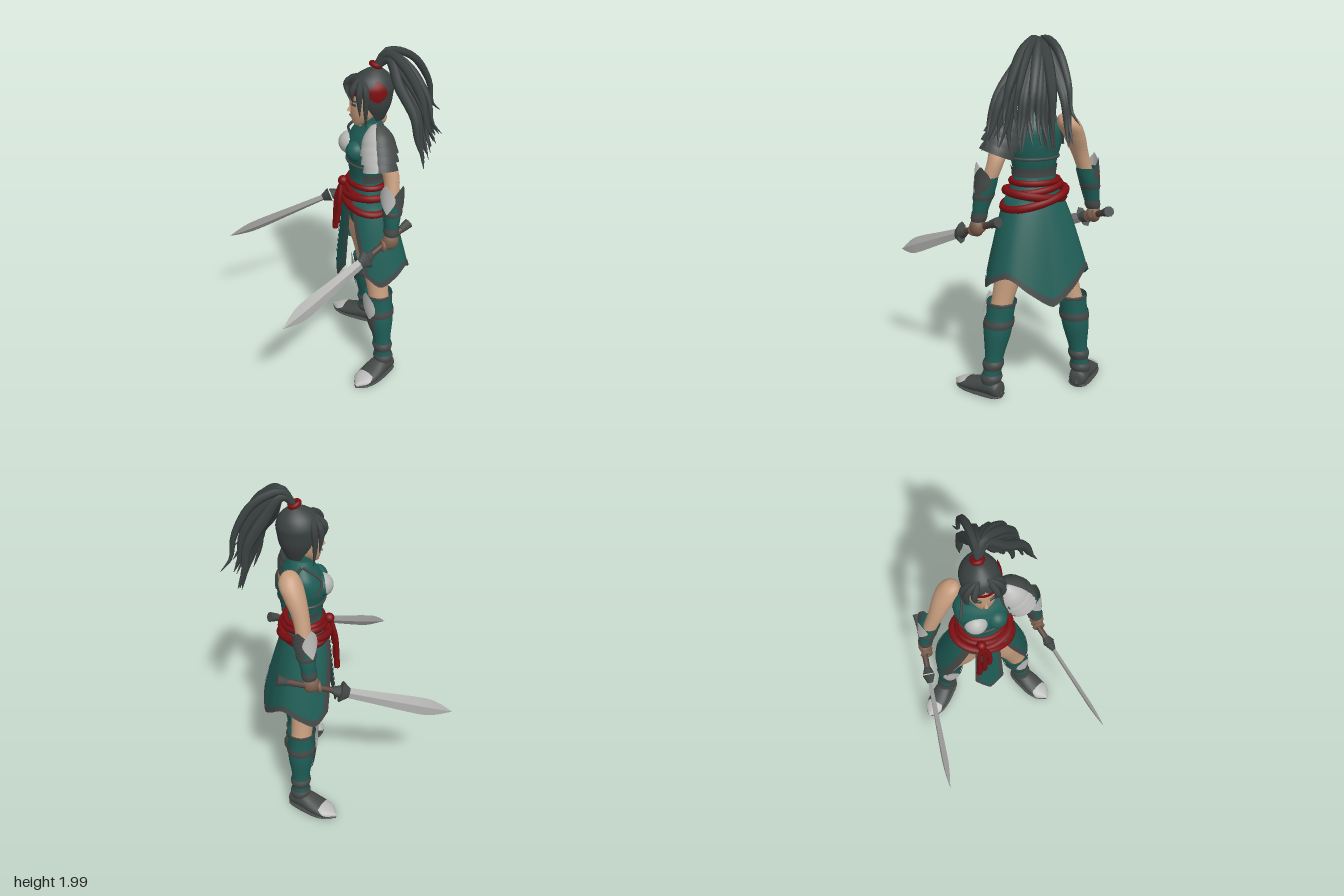
import * as THREE from 'three';
import { ParametricGeometry } from 'three/addons/geometries/ParametricGeometry.js';

const paint = (name, color) => new THREE.MeshStandardMaterial({ name, color, side: THREE.DoubleSide });
const M = {
  teal: paint('teal cloth', 0x1f5d56), dark: paint('dark leather', 0x434847), hair: paint('hair', 0x3a4040),
  red: paint('red sash', 0x7c0e11), skin: paint('skin', 0xc59c7d), silver: paint('silver plate', 0xb8b9b7),
  steel: paint('blade steel', 0xa9a9a8), brown: paint('brown glove', 0x7d604e), grip: paint('grip leather', 0x54403a),
};
const V = (x, y, z) => new THREE.Vector3(x, y, z);
const lerp = THREE.MathUtils.lerp;

function add(parent, name, geometry, material, x = 0, y = 0, z = 0) {
  const mesh = new THREE.Mesh(geometry, material);
  mesh.name = name;
  mesh.position.set(x, y, z);
  parent.add(mesh);
  return mesh;
}

// smooth value of column k through the rows
function sample(rows, v, k, fallback) {
  const n = rows.length - 1, t = v * n, i = Math.min(Math.floor(t), n - 1), f = t - i;
  const p = j => rows[Math.max(0, Math.min(n, j))][k] ?? fallback;
  const a = p(i), b = p(i + 1), m = (b - p(i - 1)) / 2, q = (p(i + 2) - a) / 2;
  return a + m * f + (3 * (b - a) - 2 * m - q) * f * f + (2 * (a - b) + m + q) * f * f * f;
}

// ellipses stacked bottom to top: [y, halfWidth, halfDepth, centreX, centreZ, halfAngle]
function stack(rows, mid = 0, slices = 24, steps = 4) {
  return new ParametricGeometry((u, v, out) => {
    const half = Math.min(Math.PI, sample(rows, v, 5, Math.PI));
    const th = mid + (2 * u - 1) * half;
    out.set(sample(rows, v, 3, 0) + Math.sin(th) * sample(rows, v, 1, 0), sample(rows, v, 0, 0),
      sample(rows, v, 4, 0) + Math.cos(th) * sample(rows, v, 2, 0));
  }, slices, (rows.length - 1) * steps);
}

// tube whose radius follows a function of its length
function taper(points, radius, n = 18, sides = 6) {
  const path = new THREE.CatmullRomCurve3(points);
  const geo = new THREE.TubeGeometry(path, n, 1, sides), pos = geo.attributes.position, p = V(0, 0, 0);
  for (let k = 0; k < pos.count; k++) {
    const t = Math.floor(k / (sides + 1)) / n, c = path.getPointAt(t);
    p.fromBufferAttribute(pos, k).sub(c).multiplyScalar(radius(t)).add(c);
    pos.setXYZ(k, p.x, p.y, p.z);
  }
  return geo;
}

// closed elliptical band, lower on one side by tilt
function ring(y, a, b, tilt, r, cz = -0.01) {
  const pts = Array.from({ length: 16 }, (_, i) => {
    const t = i * Math.PI / 8;
    return V(a * Math.sin(t), y - tilt * Math.sin(t), cz + b * Math.cos(t));
  });
  return new THREE.TubeGeometry(new THREE.CatmullRomCurve3(pts, true), 48, r, 8, true);
}

// wrap skirt open at the front; u runs around, v runs hem to waist
const hemRows = [[0.57], [0.65], [0.73], [0.69], [0.64], [0.7], [0.68]];
function skirtPiece(u0, u1, v0, v1, grow = 0) {
  return new ParametricGeometry((pu, pv, out) => {
    const u = lerp(u0, u1, pu), t = 1 - lerp(v0, v1, pv), start = 0.6 + 0.4 * t;
    const th = lerp(start, 2 * Math.PI - start, u), r = Math.pow(t, 0.75);
    const hem = sample(hemRows, Math.min(1, Math.abs(th - Math.PI) / 2.6), 0, 0);
    out.set(Math.sin(th) * (lerp(0.15, 0.295, r) + grow), lerp(1.14, hem, t),
      Math.cos(th) * (lerp(0.122, 0.215, r) + grow) - 0.055 * t);
  }, 60, 12);
}
function frontPanel(u0, u1, v0, v1, grow = 0) {
  return new ParametricGeometry((pu, pv, out) => {
    const u = lerp(u0, u1, pu) * 2 - 1, t = 1 - lerp(v0, v1, pv), x = u * (0.07 + 0.02 * t);
    out.set(x, lerp(1.14, 0.57 + 0.12 * Math.abs(u), t), 0.122 + 0.035 * t - 2.2 * x * x + grow);
  }, 16, 10);
}

// sword stretched from pommel to tip, edge upright but for the roll
function sword(name, pommel, tip, roll) {
  const g = new THREE.Group(), dir = tip.clone().sub(pommel), len = dir.length();
  g.name = name;
  dir.normalize();
  const z = V(0, 1, 0).addScaledVector(dir, -dir.y).normalize();
  g.setRotationFromMatrix(new THREE.Matrix4().makeBasis(dir.clone().cross(z), dir, z));
  g.rotateY(roll);
  g.position.copy(pommel);
  const blade = stack([[0.36, 0.012, 0.028], [0.55, 0.012, 0.037], [0.8, 0.013, 0.049], [0.9, 0.01, 0.038], [1, 0.001, 0.001]]
    .map(r => [r[0] * len, r[1], r[2]]), 0, 4).toNonIndexed();
  blade.computeVertexNormals();
  add(g, 'blade', blade, M.steel);
  add(g, 'grip', new THREE.CylinderGeometry(0.017, 0.019, 0.32 * len, 12), M.grip, 0, 0.17 * len, 0);
  add(g, 'pommel', new THREE.CylinderGeometry(0.022, 0.03, 0.06, 8), M.dark, 0, 0.02, 0);
  const guard = add(g, 'guard', new THREE.CylinderGeometry(0.02, 0.045, 0.05, 8), M.dark, 0, 0.365 * len, 0);
  guard.scale.set(0.7, 1, 1.4);
  add(g, 'guardCollar', new THREE.CylinderGeometry(0.036, 0.02, 0.04, 8), M.dark, 0, 0.315 * len, 0);
  return g;
}

function leg(body, s, knee, ankle, turn, plateTurn) {
  const g = new THREE.Group();
  g.name = s > 0 ? 'leftLeg' : 'rightLeg';
  body.add(g);
  const shin = (y, r, half) => {
    const t = (y - 0.1) / 0.42;
    return [y, r, r, lerp(ankle[0], knee[0], t), lerp(ankle[1], knee[1], t), half];
  };
  const thigh = (y, r) => {
    const t = (y - 0.52) / 0.43;
    return [y, r, r, lerp(knee[0], s * 0.085, t), lerp(knee[1], -0.01, t)];
  };
  add(g, 'thigh', stack([thigh(0.47, 0.06), thigh(0.56, 0.062), thigh(0.68, 0.075), thigh(0.82, 0.092), thigh(1, 0.09)]), M.skin);
  add(g, 'boot', stack([shin(0.06, 0.048), shin(0.14, 0.05), shin(0.24, 0.054), shin(0.37, 0.076), shin(0.47, 0.077), shin(0.55, 0.082)]), M.teal);
  add(g, 'bootCuff', stack([shin(0.41, 0.083), shin(0.43, 0.086), shin(0.455, 0.083)]), M.dark);
  add(g, 'bootRim', stack([shin(0.535, 0.083), shin(0.545, 0.085), shin(0.555, 0.083)]), M.dark);
  for (const y of [0.11, 0.19]) add(g, 'ankleStrap', stack([shin(y - 0.03, 0.052), shin(y, 0.061), shin(y + 0.025, 0.054)]), M.dark);
  add(g, 'shinGuard', stack([shin(0.27, 0.062, 0.03), shin(0.34, 0.08, 0.35), shin(0.42, 0.09, 0.5)], plateTurn), M.dark);
  add(g, 'kneePlate', stack([shin(0.4, 0.09, 0.05), shin(0.46, 0.096, 0.55), shin(0.53, 0.097, 0.45), shin(0.58, 0.1, 0.04)], plateTurn), M.silver);
  // foot, turned outward
  const foot = new THREE.Group();
  foot.name = 'foot';
  foot.position.set(ankle[0], 0, ankle[1]);
  foot.rotation.y = turn;
  g.add(foot);
  const lengthwise = (rows, mid) => stack(rows, mid, 20).rotateX(Math.PI / 2);
  add(foot, 'shoe', lengthwise([[-0.072, 0.01, 0.012, 0, -0.03], [-0.055, 0.048, 0.045, 0, -0.046], [0.02, 0.057, 0.055, 0, -0.055],
    [0.11, 0.066, 0.04, 0, -0.04], [0.19, 0.055, 0.027, 0, -0.027], [0.25, 0.004, 0.012, 0, -0.014]]), M.dark);
  add(foot, 'toeCap', lengthwise([[0.155, 0.064, 0.038, 0, -0.033, 0.9], [0.2, 0.057, 0.031, 0, -0.025, 1.35],
    [0.256, 0.004, 0.012, 0, -0.015, 1.4]], Math.PI), M.silver);
  add(foot, 'sole', lengthwise([[-0.07, 0.02, 0.009, 0, -0.009], [-0.04, 0.056, 0.01, 0, -0.01], [0.11, 0.072, 0.01, 0, -0.01],
    [0.2, 0.055, 0.009, 0, -0.009], [0.25, 0.01, 0.008, 0, -0.008]]), M.dark);
}

function arm(body, s, sz, plateTurn) {
  const g = new THREE.Group();
  g.name = s > 0 ? 'leftArm' : 'rightArm';
  body.add(g);
  const make = (name, rows, mat, mid = 0) => add(g, name, stack(rows.map(([y, r, x, z, h]) => [y, r, r, s * x, z, h]), s * mid), mat);
  make('upperArm', [[1.22, 0.04, 0.292, -0.06], [1.35, 0.046, 0.245, -0.065], [1.45, 0.059, 0.2, lerp(-0.06, sz, 0.6)],
    [1.52, 0.064, 0.16, sz], [1.57, 0.04, 0.14, sz], [1.585, 0.001, 0.13, sz]], M.skin);
  make('bracer', [[1.04, 0.036, 0.338, -0.05], [1.12, 0.046, 0.325, -0.055], [1.2, 0.055, 0.305, -0.06], [1.27, 0.058, 0.29, -0.06]], M.teal);
  make('wristCuff', [[1.03, 0.038, 0.341, -0.05], [1.05, 0.044, 0.337, -0.05], [1.08, 0.043, 0.332, -0.052]], M.dark);
  make('bracerBand', [[1.15, 0.053, 0.318, -0.058], [1.165, 0.057, 0.314, -0.058], [1.18, 0.057, 0.31, -0.06]], M.dark);
  make('innerGuard', [[1.08, 0.045, 0.332, -0.052, 0.6], [1.17, 0.055, 0.311, -0.059, 0.85], [1.26, 0.06, 0.29, -0.06, 0.7]], M.dark, -0.85);
  make('elbowPlate', [[1.17, 0.062, 0.312, -0.058, 0.05], [1.24, 0.068, 0.296, -0.06, 0.75], [1.29, 0.069, 0.29, -0.06, 0.6], [1.34, 0.071, 0.285, -0.06, 0.03]], M.silver, plateTurn);
  make('elbowGuard', [[1.18, 0.06, 0.31, -0.057, 0.1], [1.23, 0.066, 0.297, -0.06, 0.85], [1.28, 0.067, 0.291, -0.06, 0.75], [1.33, 0.07, 0.285, -0.06, 0.05]], M.dark, 2.2);
  const hand = add(g, 'hand', new THREE.SphereGeometry(0.045, 16, 12), M.brown, s * 0.348, 0.995, -0.045);
  hand.scale.set(0.85, 1.15, 1.05);
  for (let i = 0; i < 4; i++)
    add(g, 'finger', new THREE.TorusGeometry(0.026, 0.012, 6, 14), M.brown, s * (0.335 + i * 0.004), 1.002 - i * 0.011, -0.065 + i * 0.021);
}

export function createModel() {
  const model = new THREE.Group(), body = new THREE.Group();
  model.name = 'swordFighter';
  body.name = 'body';
  body.rotation.y = -Math.PI / 4;
  body.position.set(0.19, 0, -0.22);
  model.add(body);

  // torso
  add(body, 'torso', stack([[0.95, 0.15, 0.11, 0, -0.03], [1.05, 0.16, 0.122, 0, -0.02], [1.15, 0.145, 0.112, 0, -0.01], [1.25, 0.118, 0.093], [1.33, 0.13, 0.105],
    [1.42, 0.155, 0.118], [1.5, 0.152, 0.102, 0, -0.015], [1.555, 0.11, 0.07, 0, -0.02], [1.59, 0.06, 0.055, 0, -0.015]], 0, 36), M.teal);
  add(body, 'waistGuard', stack([[1.245, 0.124, 0.099], [1.27, 0.126, 0.101], [1.295, 0.131, 0.106]].map(r => [...r, 0, 0, 2.1]), Math.PI), M.dark);
  add(body, 'ribTrim', ring(1.345, 0.136, 0.11, 0, 0.008, 0), M.dark);
  add(body, 'neck', stack([[1.53, 0.055, 0.055], [1.6, 0.047, 0.047, 0, 0], [1.66, 0.047, 0.047, 0, 0.005]]), M.skin);
  add(body, 'collar', stack([[1.53, 0.1, 0.08, 0, -0.015], [1.58, 0.068, 0.063, 0, -0.01], [1.64, 0.066, 0.066, 0, -0.005]].map(r => [...r, 2.6]), Math.PI), M.teal);
  for (const s of [-1, 1]) {
    add(body, 'bust', new THREE.SphereGeometry(0.06, 20, 14), M.teal, s * 0.062, 1.43, 0.082);
    add(body, 'frontTrim', taper([V(s * 0.1, 1.575, -0.02), V(s * 0.135, 1.5, 0.07), V(s * 0.15, 1.42, 0.045)], () => 0.008), M.dark);
    add(body, 'backTrim', taper([V(s * 0.1, 1.575, -0.03), V(s * 0.118, 1.5, -0.085), V(s * 0.15, 1.41, -0.045)], () => 0.008), M.dark);
  }
  // single breastplate
  const plate = add(body, 'breastPlate', new THREE.SphereGeometry(0.067, 20, 10, 0, Math.PI * 2, 0, 1.35), M.silver, -0.056, 1.435, 0.083);
  plate.rotation.set(1.55, 0, 0.05);

  // skirt
  add(body, 'skirt', skirtPiece(0, 1, 0, 1), M.teal);
  add(body, 'skirtHem', skirtPiece(0, 1, 0, 0.075, 0.004), M.dark);
  add(body, 'slitTrim', skirtPiece(0, 0.03, 0, 1, 0.004), M.dark);
  add(body, 'slitTrim', skirtPiece(0.95, 1, 0, 1, 0.004), M.dark);
  add(body, 'frontPanel', frontPanel(0, 1, 0, 1), M.teal);
  add(body, 'panelLining', frontPanel(0, 1, 0, 1, -0.004), M.dark);
  add(body, 'panelHem', frontPanel(0, 1, 0, 0.07, 0.004), M.dark);
  for (const u of [0, 0.87]) add(body, 'panelTrim', frontPanel(u, u + 0.13, 0, 1, 0.004), M.dark);

  // sash with knot and hanging ends
  for (const [y, a, b, tilt, r] of [[1.215, 0.13, 0.104, 0, 0.018], [1.175, 0.143, 0.114, 0.02, 0.02], [1.115, 0.176, 0.137, 0.045, 0.023], [1.14, 0.163, 0.128, -0.025, 0.023]])
    add(body, 'sash', ring(y, a, b, tilt, r), M.red);
  add(body, 'sashKnot', new THREE.SphereGeometry(0.03, 12, 10), M.red, -0.04, 1.2, 0.125);
  for (const [x, end] of [[-0.06, 0.87], [-0.03, 0.92], [0, 1.0]])
    add(body, 'sashEnd', taper([V(-0.04, 1.2, 0.13), V(x, 1.1, 0.155), V(x - 0.005, end, 0.16)], t => 0.01 + 0.009 * t), M.red);

  // limbs
  leg(body, 1, [0.21, -0.04], [0.28, -0.064], 0.56, 0.45);
  leg(body, -1, [-0.205, -0.09], [-0.25, -0.12], -0.76, -0.15);
  arm(body, 1, 0, 0.75);
  arm(body, -1, -0.1, 1.15);

  // layered shoulder armour on the left arm, silver at the front
  const pad = new THREE.Group();
  pad.name = 'shoulderArmour';
  pad.position.set(0.17, 1.503, -0.012);
  pad.rotation.z = 0.38;
  body.add(pad);
  for (let i = 0; i < 4; i++) {
    const y = 0.035 - i * 0.047, r = [0.084, 0.094, 0.093, 0.085][i];
    const rows = [[y - 0.035, r + 0.012, r + 0.012], [y, r + 0.004, r + 0.004], [y + 0.035, r - 0.014, r - 0.014]];
    if (i === 0) rows.push([y + 0.075, 0.035, 0.035], [y + 0.085, 0.002, 0.002]);
    add(pad, 'shoulderBand', stack(rows.map(q => [...q, 0, 0, Math.PI - 0.85]), 0.3 + Math.PI), M.dark);
    add(pad, 'shoulderFront', stack(rows.map(q => [...q, 0, 0, 0.85]), 0.3), M.silver);
  }

  // head
  const head = new THREE.Group();
  head.name = 'head';
  head.position.z = -0.028;
  body.add(head);
  add(head, 'face', stack([[1.563, 0.006, 0.006, 0, 0.09], [1.575, 0.035, 0.035, 0, 0.078], [1.63, 0.073, 0.08, 0, 0.048], [1.7, 0.088, 0.1, 0, 0.033],
    [1.78, 0.09, 0.105, 0, 0.02], [1.85, 0.05, 0.06, 0, 0.01], [1.87, 0.002, 0.002, 0, 0.01]]), M.skin);
  add(head, 'nose', new THREE.ConeGeometry(0.013, 0.045, 8), M.skin, 0, 1.672, 0.133).rotation.x = -0.25;
  add(head, 'mouth', new THREE.BoxGeometry(0.03, 0.006, 0.008), M.brown, 0, 1.622, 0.128);
  add(head, 'hairCap', stack([[1.6, 0.065, 0.065, 0, 0, 1.6], [1.68, 0.097, 0.103, 0, 0.006, 2.05], [1.75, 0.107, 0.118, 0, 0.01, 2.25],
    [1.79, 0.107, 0.12, 0, 0.01, 3.1], [1.84, 0.082, 0.098, 0, 0.008], [1.88, 0.035, 0.045, 0, 0], [1.89, 0.002, 0.002, 0, -0.005]], Math.PI, 32), M.hair);
  for (const s of [-1, 1]) {
    add(head, 'eye', new THREE.BoxGeometry(0.03, 0.012, 0.008), M.dark, s * 0.036, 1.697, 0.122).rotation.y = s * 0.35;
    add(head, 'brow', new THREE.BoxGeometry(0.038, 0.007, 0.008), M.hair, s * 0.037, 1.718, 0.121).rotation.set(0, s * 0.35, s * 0.15);
    for (const [x, y, z] of [[0.097, 1.57, 0.065], [0.09, 1.64, 0.1], [0.05, 1.71, 0.13]])
      add(head, 'fringe', taper([V(s * 0.02, 1.85, 0.08), V(s * (x * 0.8 + 0.02), 1.79, z + 0.01), V(s * (x + 0.006), (y + 1.79) / 2, z + 0.01), V(s * x * 0.9, y, z)],
        t => 0.001 + 0.018 * Math.sin(Math.PI * Math.pow(t * 0.97 + 0.03, 0.7))), M.hair);
  }
  add(head, 'headbandWing', stack([[1.725, 0.112, 0.122, 0, 0.008, 0.05], [1.76, 0.115, 0.126, 0, 0.008, 0.42], [1.8, 0.112, 0.124, 0, 0.008, 0.38],
    [1.84, 0.094, 0.11, 0, 0.006, 0.08]], 1.55, 12), M.red);
  add(head, 'headband', stack([[1.75, 0.099, 0.109, 0, 0.023], [1.765, 0.1, 0.111, 0, 0.023], [1.78, 0.098, 0.109, 0, 0.023]].map(r => [...r, 1.2])), M.red);

  // ponytail
  const tie = add(body, 'hairTie', new THREE.TorusGeometry(0.026, 0.014, 8, 20), M.red, -0.005, 1.9, -0.035);
  tie.rotation.x = Math.PI / 2 - 0.4;
  let seed = 7;
  const rand = () => (seed = (seed * 16807) % 2147483647) / 2147483647;
  for (let i = 0; i < 28; i++) {
    const f = i / 27, drop = rand(), ex = lerp(-0.07, 0.35, f) + (rand() - 0.5) * 0.09, ez = lerp(-0.42, -0.26, f * f) + drop * 0.09;
    const width = 0.018 + 0.013 * rand(), flick = (rand() - 0.5) * 0.05;
    add(body, 'ponytailStrand', taper([V(0, 1.88, -0.03), V(ex * 0.13, 1.972 - drop * 0.03, -0.09), V(ex * 0.46, 1.93 - drop * 0.13, ez * 0.58),
      V(ex * 0.8, 1.77 - drop * 0.1, ez * 0.85), V(ex * 0.93, 1.64 - drop * 0.1, ez * 0.92), V(ex * 1.04 + flick, 1.58 - drop * 0.16, ez * 1.03 + flick)],
    t => 0.001 + width * Math.pow(Math.sin(Math.PI * Math.pow(t * 0.9 + 0.1, 0.85)), 0.8)), M.hair);
  }

  // twin swords
  body.add(sword('leftSword', V(0.279, 1.045, -0.166), V(0.594, 0.69, 0.626), 0.4));
  body.add(sword('rightSword', V(-0.346, 1.05, -0.219), V(-0.407, 0.69, 0.76), -0.4));
  return model;
}
